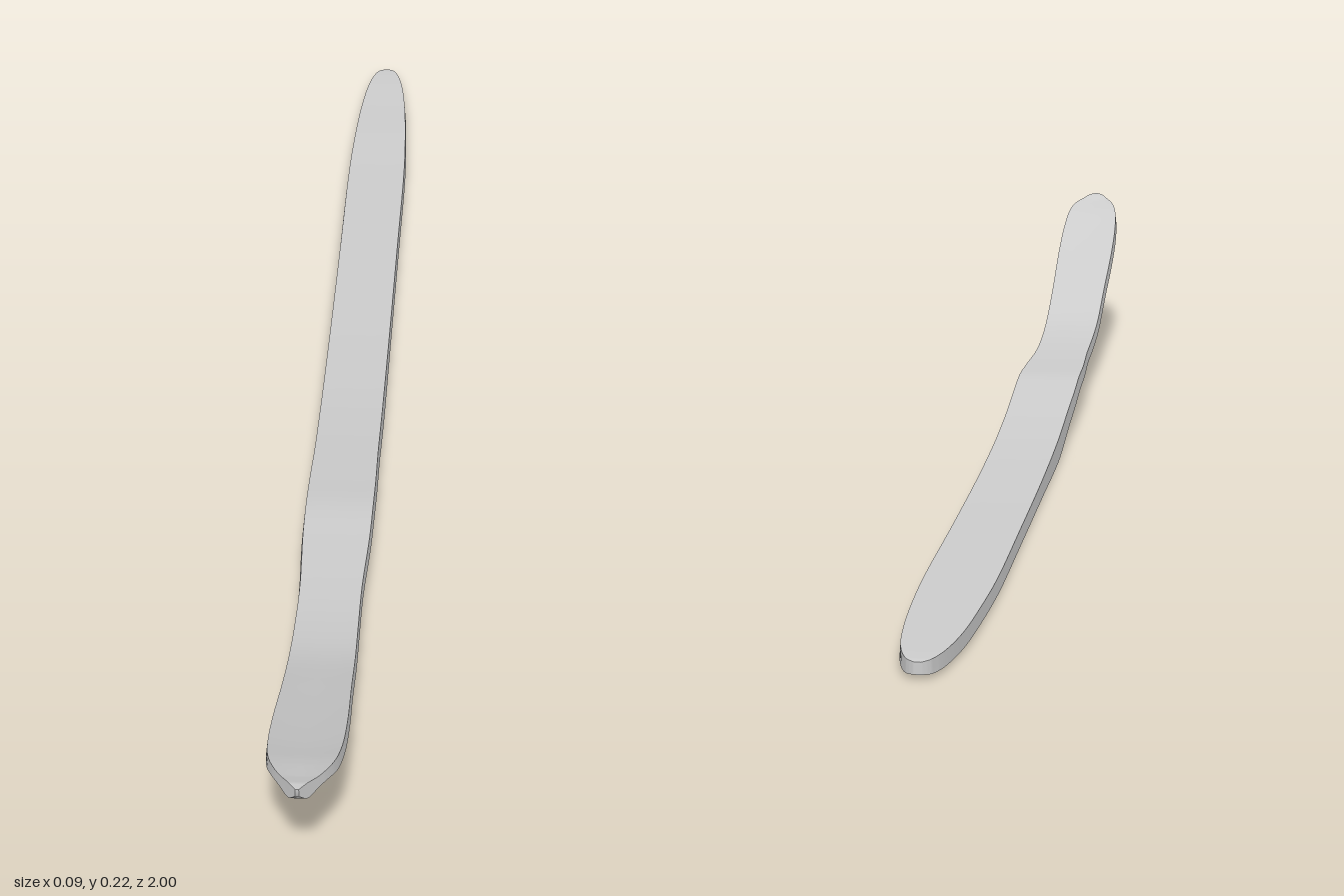
import * as THREE from 'three';
import { toCreasedNormals } from 'three/addons/utils/BufferGeometryUtils.js';

// Stations along the blade: z, half width, centre height, thickness
const STATIONS = [
  [-1, 0.004, 0.014, 0.014], [-0.993, 0.013, 0.014, 0.016], [-0.975, 0.021, 0.014, 0.017],
  [-0.94, 0.029, 0.014, 0.017], [-0.88, 0.036, 0.013, 0.017], [-0.8, 0.041, 0.013, 0.017],
  [-0.68, 0.045, 0.012, 0.017], [-0.45, 0.045, 0.011, 0.018], [-0.2, 0.045, 0.012, 0.02],
  [-0.02, 0.045, 0.0155, 0.027], [0.05, 0.045, 0.022, 0.026], [0.12, 0.045, 0.031, 0.023],
  [0.2, 0.046, 0.042, 0.021], [0.27, 0.046, 0.0515, 0.019], [0.34, 0.045, 0.0525, 0.017],
  [0.44, 0.041, 0.054, 0.016], [0.52, 0.041, 0.059, 0.016], [0.6, 0.042, 0.072, 0.016],
  [0.7, 0.043, 0.106, 0.016], [0.8, 0.045, 0.143, 0.016], [0.88, 0.044, 0.174, 0.016],
  [0.93, 0.039, 0.195, 0.016], [0.955, 0.031, 0.204, 0.014], [0.972, 0.022, 0.208, 0.015],
  [0.988, 0.011, 0.21, 0.022], [1, 0.002, 0.217, 0.01],
];

// Loft of a thin, slightly dished cross-section along the stations
function bladeGeometry() {
  const shape = new THREE.CatmullRomCurve3(STATIONS.map(([z, w, y]) => new THREE.Vector3(w, y, z)));
  const thick = new THREE.CatmullRomCurve3(STATIONS.map(([z, , , t]) => new THREE.Vector3(t, 0, z)));
  const steps = (STATIONS.length - 1) * 4;
  const columns = [-1, -0.5, 0, 0.5, 1];
  const n = columns.length * 2;
  const pos = [], index = [];

  for (let i = 0; i <= steps; i++) {
    const p = shape.getPoint(i / steps);
    const t = thick.getPoint(i / steps).x;
    // The upturned nose is scooped a little along its middle
    const dish = 0.004 * THREE.MathUtils.smoothstep(p.z, 0.5, 0.9) * (1 - THREE.MathUtils.smoothstep(p.z, 0.95, 1));
    const height = (u) => p.y + dish * (u * u - 0.5);
    for (const u of columns) pos.push(u * p.x, height(u) - t / 2, p.z);
    for (const u of [...columns].reverse()) pos.push(u * p.x * 0.96, height(u) + t / 2, p.z);
  }

  for (let i = 0; i < steps; i++) {
    for (let j = 0; j < n; j++) {
      const k = (j + 1) % n;
      const a = i * n + j, b = i * n + k, c = a + n, d = b + n;
      index.push(a, b, d, a, d, c);
    }
  }
  // End caps
  const last = steps * n;
  for (let j = 1; j < n - 1; j++) {
    index.push(0, j + 1, j);
    index.push(last, last + j, last + j + 1);
  }

  const geo = new THREE.BufferGeometry();
  geo.setAttribute('position', new THREE.Float32BufferAttribute(pos, 3));
  geo.setIndex(index);
  return toCreasedNormals(geo, 0.7);
}

export function createModel() {
  const group = new THREE.Group();
  group.name = 'ski';
  const blade = new THREE.Mesh(bladeGeometry(), new THREE.MeshStandardMaterial({ color: 0xcccccc }));
  blade.name = 'blade';
  group.add(blade);
  return group;
}
